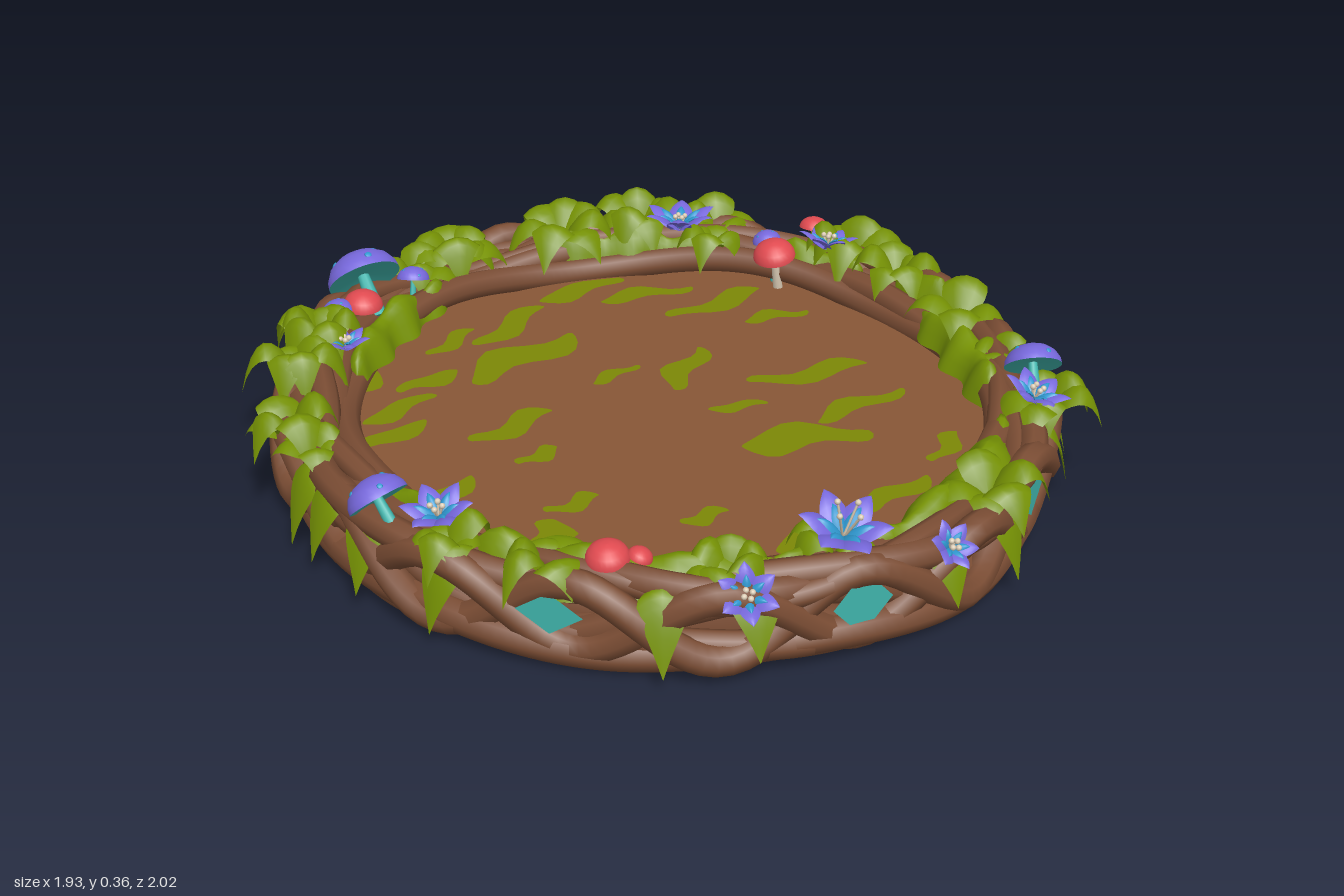
import * as THREE from 'three';

const mat = (name, color, side = THREE.FrontSide) => {
  const m = new THREE.MeshStandardMaterial({ color, side });
  m.name = name;
  return m;
};
const ZS = 1.06; // the ring is slightly longer front to back

// Seeded random numbers
let seed = 7;
const rnd = (a = 0, b = 1) => {
  seed = (seed * 16807) % 2147483647;
  return a + (b - a) * seed / 2147483647;
};

const ringPoint = (a, r, y) => new THREE.Vector3(r * Math.sin(a), y, r * ZS * Math.cos(a));

// Closed vine that wanders in radius and height around the ring
class VineCurve extends THREE.Curve {
  constructor(r, rAmp, rK, y, yAmp, yK, phase) {
    super();
    Object.assign(this, { r, rAmp, rK, y, yAmp, yK, phase });
  }
  getPoint(t, target = new THREE.Vector3()) {
    const a = t * Math.PI * 2;
    const r = this.r + this.rAmp * Math.sin(this.rK * a + this.phase * 1.7);
    const y = this.y + this.yAmp * Math.cos(this.yK * (a + 0.05) + this.phase);
    return target.copy(ringPoint(a, r, y));
  }
}

// Pointed, arched leaf of unit length along +z, folded at the midrib
function leafGeometry(rise, droop, width, reach = 1) {
  const g = new THREE.PlaneGeometry(2, 1, 4, 8);
  const p = g.attributes.position;
  for (let i = 0; i < p.count; i++) {
    const v = p.getX(i), t = p.getY(i) + 0.5;
    const w = width * Math.max(0, Math.sin(Math.PI * Math.pow(t, 0.7))) + 0.04 * (1 - t);
    p.setXYZ(i, v * w, rise * t - droop * t * t - 0.4 * w * v * v, reach * (t - 0.2 * t * t));
  }
  g.computeVertexNormals();
  return g;
}

// Lumpy moss strip lying over the rim between two angles
function mossGeometry(a0, a1, r, w) {
  const g = new THREE.PlaneGeometry(2, 1, 8, 28);
  const p = g.attributes.position;
  for (let i = 0; i < p.count; i++) {
    const v = p.getX(i), u = p.getY(i) + 0.5, a = a0 + (a1 - a0) * u;
    const wide = w * Math.pow(Math.max(0, Math.sin(Math.PI * u)), 0.4) * (1 + 0.25 * Math.sin(a * 31 + v));
    const y = 0.17 + (0.085 + 0.014 * Math.sin(a * 24)) * (1 - v * v) * Math.min(1, wide / w + 0.2);
    const q = ringPoint(a, r + v * wide, y);
    p.setXYZ(i, q.x, q.y, q.z);
  }
  g.computeVertexNormals();
  return g;
}

export function createModel() {
  const root = new THREE.Group();
  root.name = 'wovenVineBed';
  const M = {
    vine: mat('vine brown', 0x7b4d34),
    soil: mat('soil brown', 0x885636),
    moss: mat('floor moss', 0x7c8806),
    leaf: mat('leaf green', 0x769204, THREE.DoubleSide),
    base: mat('base beige', 0xdcc4b0),
    purple: mat('violet', 0x7768dc, THREE.DoubleSide),
    teal: mat('teal', 0x40b4ac, THREE.DoubleSide),
    blue: mat('flower blue', 0x2f98d0, THREE.DoubleSide),
    red: mat('cap red', 0xe04a50),
    cream: mat('cream', 0xdccdb6),
  };
  const add = (parent, name, geo, m) => {
    const mesh = new THREE.Mesh(geo, m);
    mesh.name = name;
    parent.add(mesh);
    return mesh;
  };
  const group = (name, x = 0, y = 0, z = 0, parent = root) => {
    const g = new THREE.Group();
    g.name = name;
    g.position.set(x, y, z);
    parent.add(g);
    return g;
  };
  const lathe = (pts, n = 24) => new THREE.LatheGeometry(pts.map(q => new THREE.Vector2(...q)), n);

  // Floor slab with a soft lower edge, and inner wall
  add(root, 'baseSlab', lathe([[0, 0.035], [0.7, 0.035], [0.74, 0.036], [0.8, 0.05], [0.84, 0.09]], 64), M.base).scale.z = ZS;
  const floor = add(root, 'floor', new THREE.CircleGeometry(0.81, 64), M.soil);
  floor.rotation.x = -Math.PI / 2;
  floor.scale.y = ZS;
  floor.position.y = 0.15;
  add(root, 'innerWall', lathe([[0.83, 0.08], [0.83, 0.12], [0.81, 0.19], [0.78, 0.19], [0.77, 0.14]], 64), M.vine).scale.z = ZS;

  // Moss patches on the floor: x, z, length, width, slope
  const patches = [
    [-0.13, -0.57, 0.28, 0.07, 0.5], [0.13, -0.67, 0.26, 0.07, 0.1], [0.27, -0.56, 0.26, 0.06, -0.2], [-0.18, -0.39, 0.36, 0.11, 0.25],
    [-0.44, -0.39, 0.18, 0.06, 0.1], [0.4, -0.42, 0.3, 0.07, 0.1], [-0.36, -0.09, 0.24, 0.07, 0.25], [-0.56, -0.3, 0.22, 0.06, 0.3],
    [-0.02, -0.2, 0.15, 0.04, 0.2], [0.15, -0.14, 0.24, 0.07, 0.7], [-0.64, -0.18, 0.24, 0.06, 0.2], [-0.37, 0.07, 0.12, 0.05, 0.2],
    [0.4, 0.03, 0.32, 0.07, -0.15], [0.16, 0.09, 0.15, 0.04, -0.2], [0.22, 0.3, 0.32, 0.11, -0.3], [0.42, 0.23, 0.28, 0.06, 0.1],
    [-0.64, 0.13, 0.22, 0.06, 0.4], [-0.5, 0.39, 0.12, 0.08, 0.8], [-0.4, 0.3, 0.14, 0.05, 0.1], [-0.17, 0.49, 0.12, 0.05, 0.1],
    [-0.02, 0.69, 0.18, 0.08, 0], [0.5, -0.28, 0.18, 0.05, -0.2], [0.26, 0.62, 0.22, 0.06, 0.2], [-0.6, -0.45, 0.18, 0.07, 0.5],
    [0.48, 0.5, 0.16, 0.05, 0.6], [-0.3, -0.56, 0.18, 0.05, 0.5],
  ];
  patches.forEach(([x, z, len, w, slope], k) => {
    const pts = [];
    for (let i = 0; i < 24; i++) {
      const a = i / 24 * Math.PI * 2, c = Math.cos(a);
      const side = Math.sin(a) * w / 2 * (1 + 0.35 * Math.sin(3 * a + k));
      pts.push(new THREE.Vector2(c * len / 2, side + 0.22 * w * Math.sin(c * 4 + k)));
    }
    const m = add(root, 'mossPatch', new THREE.ShapeGeometry(new THREE.Shape(pts)), M.moss);
    m.rotation.set(-Math.PI / 2, 0, slope);
    m.position.set(x, 0.154, z);
  });

  // Woven vines: radius, sway, waves, height, sway, waves, phase, thickness
  const vines = [
    [0.882, 0.016, 9, 0.138, 0.08, 9, 0, 0.036], [0.882, 0.016, 9, 0.138, 0.08, 9, Math.PI, 0.036],
    [0.845, 0.01, 4, 0.13, 0.06, 5, 1, 0.036], [0.845, 0.01, 6, 0.12, 0.06, 7, 2.6, 0.034],
    [0.87, 0.012, 5, 0.062, 0.014, 6, 0.5, 0.038], [0.86, 0.012, 7, 0.066, 0.015, 4, 2, 0.034],
    [0.85, 0.035, 4, 0.2, 0.02, 5, 0.3, 0.036], [0.835, 0.04, 6, 0.195, 0.025, 4, 2.2, 0.034],
    [0.79, 0.018, 5, 0.18, 0.02, 6, 1.2, 0.036], [0.765, 0.035, 1, 0.18, 0.02, 5, 0.924, 0.036],
    [0.83, 0.045, 3, 0.205, 0.02, 7, 5, 0.028],
  ];
  for (const v of vines)
    add(root, 'vine', new THREE.TubeGeometry(new VineCurve(...v.slice(0, 7)), 220, v[7], 8, true), M.vine);

  // Teal diamond panes in openings of the weave: angle, half width, half height
  for (const [deg, w, h] of [[-46, 0.075, 0.05], [-3.5, 0.072, 0.08], [36, 0.08, 0.055], [92, 0.035, 0.04], [-103, 0.07, 0.05]]) {
    const a = deg * Math.PI / 180;
    const m = add(root, 'tealPane', new THREE.CircleGeometry(1, 4), M.teal);
    m.scale.set(w, h, 1);
    m.position.copy(ringPoint(a, 0.897, 0.15));
    m.rotation.y = a;
  }

  // Moss strips on the rim: start and end angle in degrees, radius, half width
  for (const [a0, a1, r, w] of [[3, 50, 0.79, 0.065], [-64, -6, 0.8, 0.07], [58, 92, 0.775, 0.06], [-162, -124, 0.735, 0.05],
    [140, 172, 0.77, 0.045], [108, 130, 0.8, 0.05], [-84, -64, 0.79, 0.05], [92, 104, 0.86, 0.05]])
    add(root, 'mossStrip', mossGeometry(a0 * Math.PI / 180, a1 * Math.PI / 180, r, w), M.leaf);

  // Leaf clusters: x, z, leaf count, leaf size
  const archLeaf = leafGeometry(1.8, 1.95, 0.29);
  const hangLeaf = leafGeometry(0.5, 1.5, 0.36, 0.65);
  const clusters = [
    [0.17, -0.85, 7, 0.17], [0.38, -0.8, 7, 0.17], [-0.15, -0.86, 8, 0.17], [-0.28, -0.82, 5, 0.13], [-0.64, -0.58, 7, 0.17],
    [-0.74, -0.47, 6, 0.15], [-0.87, -0.2, 7, 0.15], [0.57, -0.7, 6, 0.14], [0.79, -0.37, 7, 0.17], [0.82, -0.2, 6, 0.14],
    [0.82, 0.08, 4, 0.16], [0.71, 0.57, 7, 0.15], [0.36, 0.82, 5, 0.15], [-0.3, 0.81, 6, 0.13], [-0.76, 0.43, 6, 0.12],
    [-0.06, 0.84, 6, 0.12], [-0.62, 0.6, 5, 0.14], [0.5, -0.6, 6, 0.12], [-0.86, -0.08, 4, 0.11], [0.79, 0.3, 4, 0.12],
  ];
  for (const [x, z, n, size] of clusters) {
    const g = group('leafCluster', x, 0.215, z);
    const turn = rnd(0, 6);
    for (let i = 0; i < n; i++) {
      const leaf = add(g, 'leaf', archLeaf, M.leaf);
      leaf.rotation.y = turn + (i + rnd(-0.35, 0.35)) / n * Math.PI * 2;
      leaf.scale.set(size * rnd(0.9, 1.25), size * rnd(0.6, 1.6), size * rnd(0.8, 1.25));
    }
  }

  // Leaves hanging over the outside
  for (const deg of [-85, -76, -61, -31, -19, 11, 24, 50, 57, 78, 112, 120, 146, 158, 170, 188, 205, 222, 240, 268]) {
    const a = deg * Math.PI / 180;
    const leaf = add(root, 'hangingLeaf', hangLeaf, M.leaf);
    leaf.position.copy(ringPoint(a, 0.86, 0.225));
    leaf.rotation.y = a + rnd(-0.3, 0.3);
    leaf.scale.set(0.14, rnd(0.13, 0.2), 0.18);
  }

  // Mushrooms: cap centre, cap radius, cap axis, cap colour, stem colour
  const cap = lathe([[1, 0], [0.97, 0.2], [0.82, 0.46], [0.55, 0.66], [0.25, 0.76], [0, 0.78]]);
  const gills = lathe([[0, 0.12], [0.6, 0.06], [1, 0]]);
  const up = new THREE.Vector3(0, 1, 0);
  const mushrooms = [
    [-0.44, 0.275, -0.77, 0.095, [0, 0.66, -0.75], 'purple', 'teal'], [-0.31, 0.25, -0.76, 0.042, [0.2, 1, -0.3], 'purple', 'teal'],
    [-0.55, 0.24, -0.69, 0.042, [-0.4, 1, 0], 'purple', 'teal'], [-0.48, 0.245, -0.69, 0.05, [0, 1, 0.1], 'red', 'cream'],
    [0.58, 0.25, -0.42, 0.056, [-0.2, 1, 0.1], 'red', 'cream'], [0.75, 0.265, -0.49, 0.04, [0.2, 1, -0.1], 'red', 'cream'],
    [0.6, 0.26, -0.49, 0.038, [-0.1, 1, -0.2], 'purple', 'teal'], [-0.85, 0.28, 0.27, 0.07, [-0.2, 0.72, -0.62], 'purple', 'teal'],
    [0.72, 0.305, 0.5, 0.068, [0.3, 0.7, -0.6], 'purple', 'teal'],
    [-0.51, 0.25, 0.67, 0.048, [-0.1, 1, 0.1], 'red', 'cream'], [-0.45, 0.25, 0.7, 0.028, [0.3, 1, 0.2], 'red', 'cream'],
  ];
  for (const [x, y, z, r, axis, capColor, stemColor] of mushrooms) {
    const g = group('mushroom', x, y, z);
    g.quaternion.setFromUnitVectors(up, new THREE.Vector3(...axis).normalize());
    add(g, 'cap', cap, M[capColor]).scale.setScalar(r);
    add(g, 'gills', gills, M[stemColor]).scale.setScalar(r);
    add(g, 'stem', new THREE.CylinderGeometry(r * 0.16, r * 0.24, 0.12, 10), M[stemColor]).position.y = -0.06 + r * 0.1;
    // Small flat spots on the violet caps
    for (let i = 0; capColor === 'purple' && i < 5; i++) {
      const a = i * 2.4, e = 0.4 + 0.2 * i;
      const n = new THREE.Vector3(Math.cos(e) * Math.sin(a), Math.sin(e) * 0.78, Math.cos(e) * Math.cos(a));
      const spot = add(g, 'spot', new THREE.SphereGeometry(r * 0.1, 8, 6), M.blue);
      spot.scale.y = 0.4;
      spot.position.copy(n).multiplyScalar(r * 0.99);
      spot.quaternion.setFromUnitVectors(up, n.normalize());
    }
  }

  // Flowers: centre, petal length, outward tilt, stamen length
  const petal = leafGeometry(1, 0.6, 0.24);
  const flowers = [
    [0.43, 0.265, -0.66, 0.11, 0.1, 0.04], [0.7, 0.27, -0.35, 0.085, 0.2, 0.04], [-0.62, 0.255, -0.47, 0.07, 0, 0.03],
    [-0.76, 0.265, 0.38, 0.088, 0.2, 0.04], [0.66, 0.265, 0.58, 0.088, 0.3, 0.04], [-0.06, 0.268, 0.87, 0.11, 0.25, 0.09],
    [-0.31, 0.215, 0.895, 0.075, 0.75, 0.03], [0.16, 0.215, 0.945, 0.065, 0.75, 0.03],
  ];
  for (const [x, y, z, r, tilt, reach] of flowers) {
    const g = group('flower', x, y, z);
    g.rotation.set(tilt, Math.atan2(x, z), 0, 'YXZ');
    for (let i = 0; i < 6; i++) {
      const a = i / 6 * Math.PI * 2;
      const outer = add(g, 'petal', petal, M.purple);
      const inner = add(g, 'petalStripe', petal, M.blue);
      outer.rotation.y = inner.rotation.y = a;
      outer.scale.setScalar(r * 1.15);
      inner.scale.set(r * 0.5, r * 0.9, r * 0.7);
      inner.position.y = 0.006;
    }
    for (let i = 0; i < 4; i++) {
      const s = group('stamen', 0, 0, 0, g);
      s.rotation.set(0.35, i * 1.57 + 0.4, 0, 'YXZ');
      add(s, 'filament', new THREE.CylinderGeometry(0.003, 0.003, reach, 5), M.cream).position.y = reach / 2;
      add(s, 'anther', new THREE.SphereGeometry(0.007, 8, 6), M.cream).position.y = reach;
    }
  }
  return root;
}
